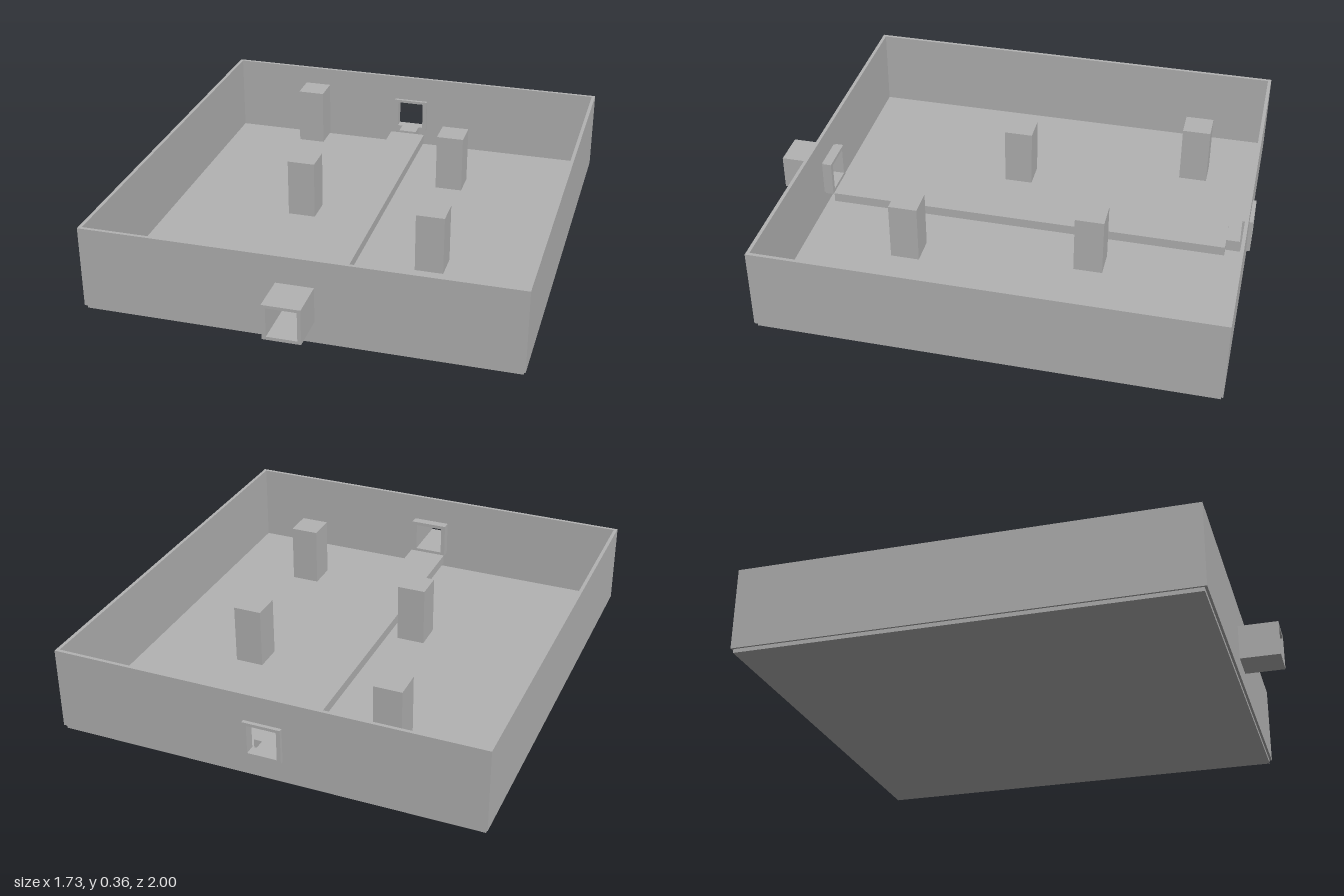
import * as THREE from 'three';

export function createModel() {
  const group = new THREE.Group();
  group.name = 'openBoxRoom';
  const grey = new THREE.MeshStandardMaterial({ color: 0xb3b3b3 });
  grey.name = 'plain grey';

  const add = (name, geometry) => {
    const mesh = new THREE.Mesh(geometry, grey);
    mesh.name = name;
    group.add(mesh);
  };

  // Box given by its lower and upper limits on each axis
  const box = (name, [x0, x1], [y0, y1], [z0, z1]) => {
    const g = new THREE.BoxGeometry(x1 - x0, y1 - y0, z1 - z0);
    g.translate((x0 + x1) / 2, (y0 + y1) / 2, (z0 + z1) / 2);
    add(name, g);
  };

  const rect = (path, x0, x1, y0, y1) =>
    path.moveTo(x0, y0).lineTo(x1, y0).lineTo(x1, y1).lineTo(x0, y1).closePath();

  // Upright slab with a square opening, running from z0 to z1
  const frame = (name, [x0, x1], [y0, y1], hole, [z0, z1]) => {
    const shape = new THREE.Shape();
    rect(shape, x0, x1, y0, y1);
    const opening = new THREE.Path();
    rect(opening, ...hole);
    shape.holes.push(opening);
    const g = new THREE.ExtrudeGeometry(shape, { depth: z1 - z0, bevelEnabled: false });
    g.translate(0, 0, z0);
    add(name, g);
  };

  // Floor plate, slightly inset below the walls
  box('floor', [-0.857, 0.857], [0, 0.02], [-0.977, 0.827]);

  // Walls: the front and back ones are pierced by the openings
  const X = 0.865, T = 0.014, wallY = [0.016, 0.355];
  const wallHole = [-0.064, 0.064, 0.107, 0.233];
  frame('frontWall', [-X, X], wallY, wallHole, [0.837 - T, 0.837]);
  frame('backWall', [-X, X], wallY, wallHole, [-0.985, -0.985 + T]);
  box('leftWall', [X - T, X], wallY, [-0.985 + T, 0.837 - T]);
  box('rightWall', [-X, -X + T], wallY, [-0.985 + T, 0.837 - T]);

  // Square entry tunnel with its inner collar, and the exit collar
  const hole = [-0.062, 0.058, 0.11, 0.23];
  frame('entryTunnel', [-0.078, 0.072], [0.097, 0.242], hole, [0.8, 1]);
  frame('entryCollar', [-0.08, 0.08], [0.095, 0.245], hole, [0.78, 0.815]);
  frame('exitCollar', [-0.078, 0.076], [0.097, 0.242], hole, [-1, -0.957]);

  // Raised walkway and the small step at its far end
  box('walkway', [-0.08, 0.08], [0.06, 0.1], [-0.9, 0.775]);
  box('exitStep', [-0.04, 0.04], [0.06, 0.11], [-0.96, -0.9]);

  // Four square pillars, just taller than the walls
  for (const [x, z] of [[-0.403, -0.712], [0.323, -0.387], [-0.219, 0.02], [0.405, 0.343]]) {
    box('pillar', [x - 0.057, x + 0.057], [0.12, 0.362], [z - 0.058, z + 0.058]);
  }
  return group;
}
